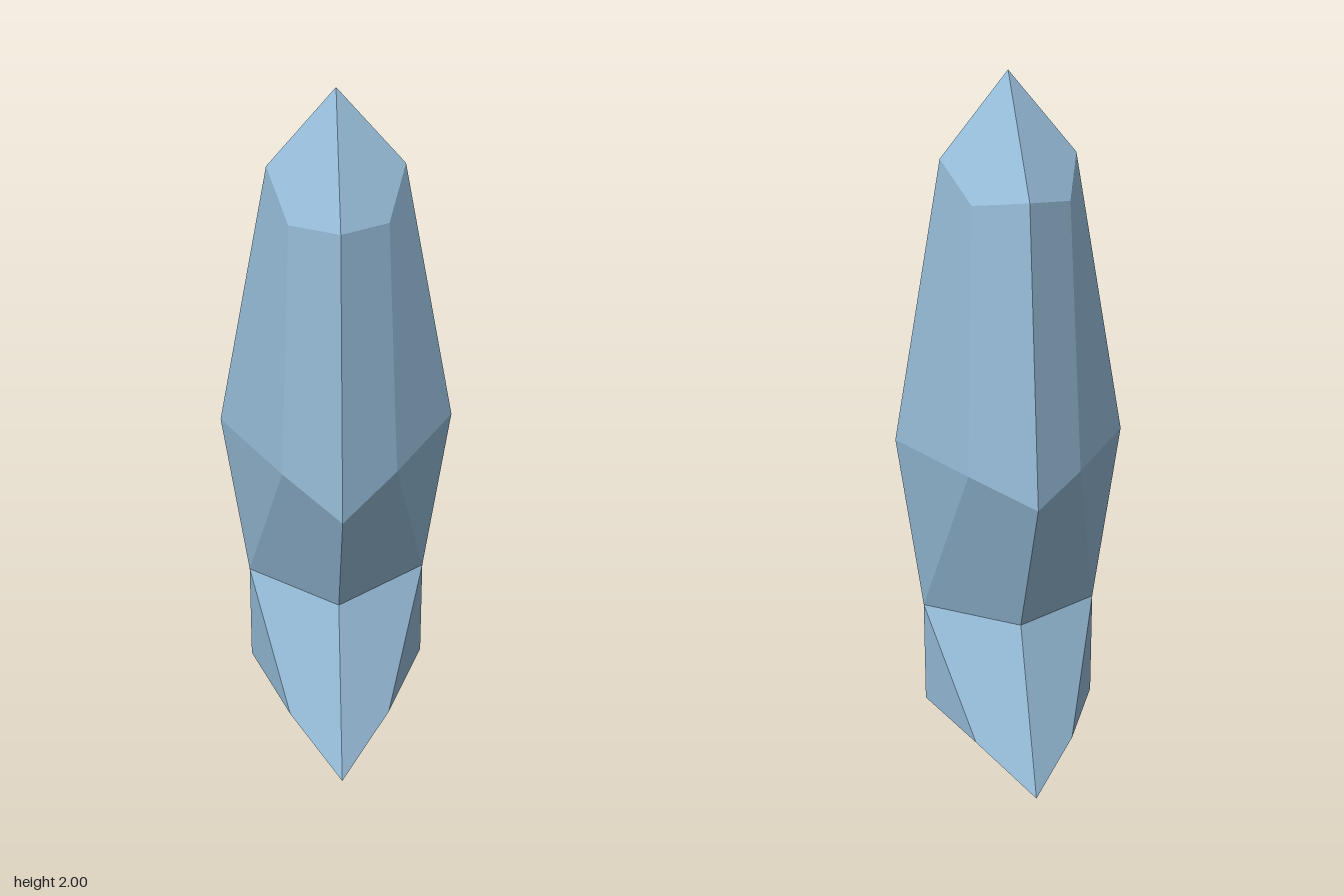
import * as THREE from 'three';

// Crystal corners in the +x +z quarter: X on the side ridge, Z on the front ridge, D between
const P = {
  apex: [0, 2, 0],
  X1: [0.195, 1.755, 0], D1: [0.141, 1.655, 0.163], Z1: [0, 1.68, 0.273], // shoulder
  X2: [0.321, 0.96, 0], D2: [0.16, 0.892, 0.206], Z2: [0, 0.825, 0.379],  // widest girdle
  X3: [0.24, 0.485, 0], Z3: [0, 0.45, 0.16],                              // waist
  X4: [0.234, 0.22, 0], D4: [0.137, 0.132, 0.2], Z4: [0, 0, 0.355],       // flared foot
  hollow: [0, 0.073, 0],
};

// Facets of each part, counter-clockwise from outside
const PARTS = {
  crystalTip: [['apex', 'Z1', 'D1', 'X1']],
  crystalBody: [['Z1', 'Z2', 'D2', 'D1'], ['D1', 'D2', 'X2', 'X1']],
  crystalTaper: [['Z2', 'Z3', 'X3', 'D2'], ['D2', 'X3', 'X2']],
  crystalFoot: [['Z3', 'Z4', 'D4', 'X3'], ['X3', 'D4', 'X4']],
  footUnderside: [['hollow', 'X4', 'D4', 'Z4']],
};

// Mirror the facets into all four quarters, with one flat normal per facet
function facetGeometry(facets) {
  const positions = [], normals = [];
  for (const sx of [1, -1]) for (const sz of [1, -1]) for (const facet of facets) {
    const pts = facet.map((k) => new THREE.Vector3(P[k][0] * sx, P[k][1], P[k][2] * sz));
    if (sx * sz < 0) pts.reverse();
    const normal = new THREE.Vector3();
    pts.forEach((p, i) => normal.add(p.clone().cross(pts[(i + 1) % pts.length])));
    normal.normalize();
    // Fan from the facet's first named corner
    const start = sx * sz < 0 ? pts.length - 1 : 0;
    const at = (i) => pts[(start + i) % pts.length];
    for (let i = 1; i < pts.length - 1; i++) {
      for (const p of [at(0), at(i), at(i + 1)]) {
        positions.push(p.x, p.y, p.z);
        normals.push(normal.x, normal.y, normal.z);
      }
    }
  }
  const geometry = new THREE.BufferGeometry();
  geometry.setAttribute('position', new THREE.Float32BufferAttribute(positions, 3));
  geometry.setAttribute('normal', new THREE.Float32BufferAttribute(normals, 3));
  return geometry;
}

export function createModel() {
  const group = new THREE.Group();
  group.name = 'crystal';
  const iceBlue = new THREE.MeshStandardMaterial({ color: 0x96bcd8 });
  iceBlue.name = 'iceBlue';
  for (const [name, facets] of Object.entries(PARTS)) {
    const mesh = new THREE.Mesh(facetGeometry(facets), iceBlue);
    mesh.name = name;
    group.add(mesh);
  }
  return group;
}
